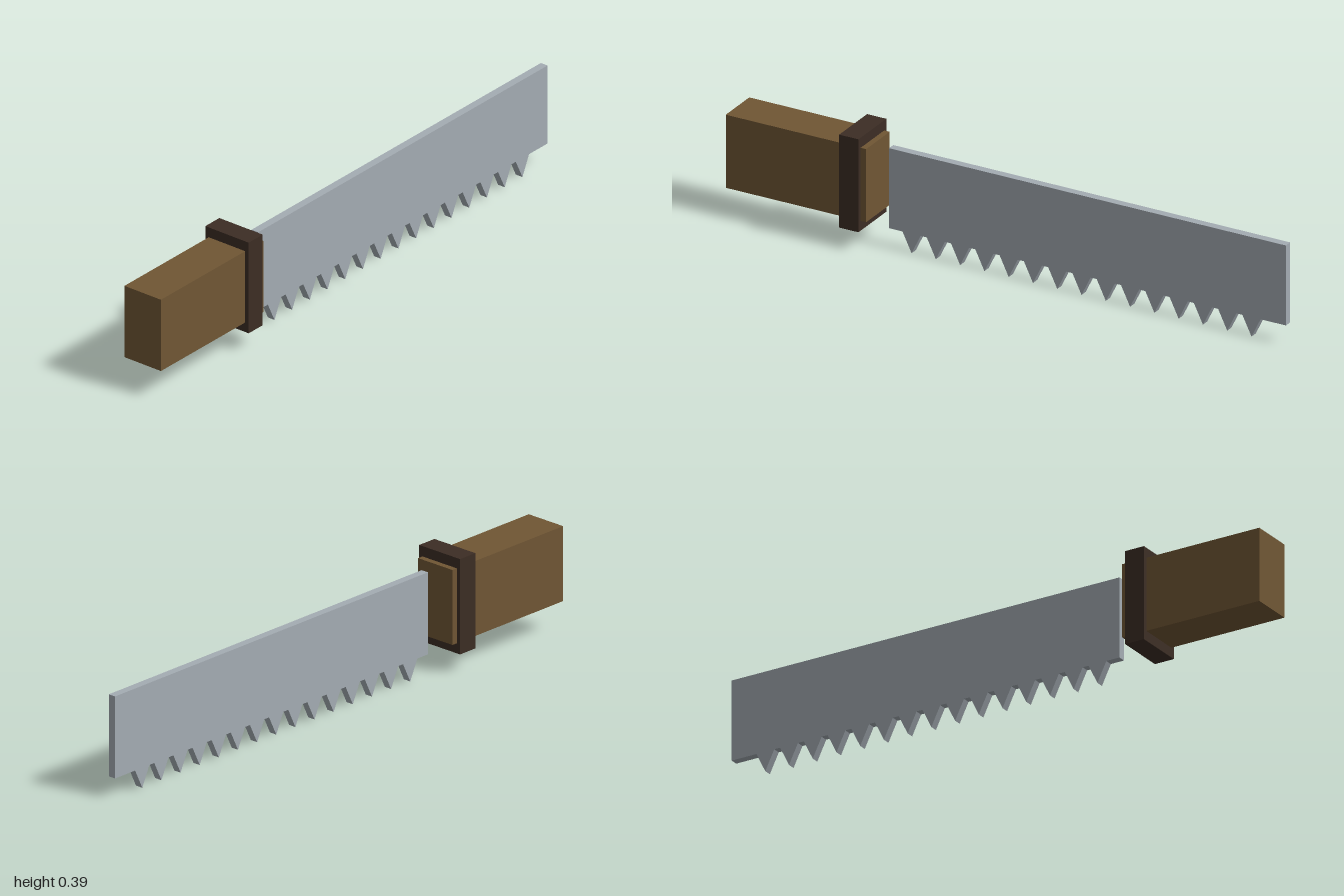
import * as THREE from 'three';

const material = (name, color) => {
  const m = new THREE.MeshStandardMaterial({ color });
  m.name = name;
  return m;
};

// Box given by its x half-width and its y and z ranges
function block(name, halfX, y0, y1, z0, z1, mat) {
  const mesh = new THREE.Mesh(new THREE.BoxGeometry(halfX * 2, y1 - y0, z1 - z0), mat);
  mesh.position.set(0, (y0 + y1) / 2, (z0 + z1) / 2);
  mesh.name = name;
  return mesh;
}

export function createModel() {
  const steel = material('steel', 0xa4acb3);
  const wood = material('wood', 0x705634);
  const darkWood = material('dark wood', 0x3c2d24);

  const saw = new THREE.Group();
  saw.name = 'saw';

  // Grip and the collar around its inner end
  saw.add(block('handle', 0.074, 0.102, 0.356, 0.49, 1, wood));
  saw.add(block('collar', 0.088, 0.068, 0.391, 0.51, 0.58, darkWood));

  // Blade outline: shape x runs towards the tip (-z)
  const base = 0.068, top = 0.346, teeth = 15, pitch = 0.0882, half = 0.033;
  const outline = new THREE.Shape();
  outline.moveTo(-0.442, top);
  outline.lineTo(-0.442, base);
  for (let i = 0; i < teeth; i++) {
    const c = -0.36 + i * pitch;
    outline.lineTo(c - half, base);
    outline.lineTo(c, 0);
    outline.lineTo(c + half, base);
  }
  outline.lineTo(1, base);
  outline.lineTo(1, top);
  outline.closePath();

  const thickness = 0.027;
  const geometry = new THREE.ExtrudeGeometry(outline, { depth: thickness, bevelEnabled: false });
  geometry.translate(0, 0, -thickness / 2);
  geometry.rotateY(Math.PI / 2);
  const blade = new THREE.Mesh(geometry, steel);
  blade.name = 'toothedBlade';
  saw.add(blade);

  return saw;
}
